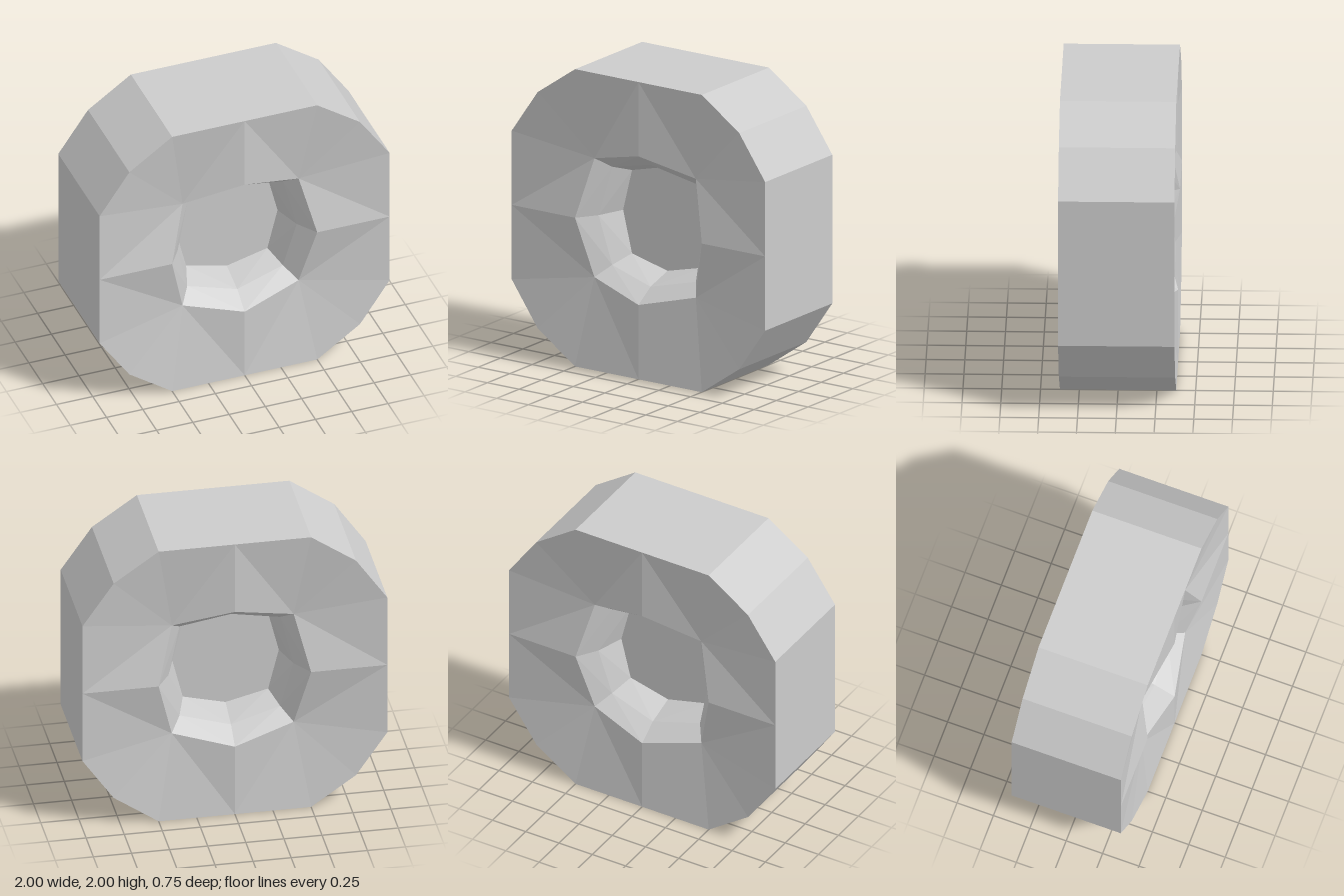
import * as THREE from 'three';

const material = new THREE.MeshStandardMaterial({ color: 0xcccccc, flatShading: true, side: THREE.DoubleSide });

// Closed ring of 16 points: each quarter repeats [middle, corner, diagonal, corner].
// mid and diag are the radial offset and depth; corner collapses onto the diagonal for octagons.
function ring(mid, diag, midZ, diagZ, chamfered = false) {
  const quarter = chamfered
    ? [[mid, 0], [mid, mid / 2], [diag, diag], [mid / 2, mid]]
    : [[mid, 0], [diag, diag], [diag, diag], [diag, diag]];
  const points = [];
  for (let q = 0; q < 4; q++) {
    const c = [1, 0, -1, 0][q], s = [0, 1, 0, -1][q];
    quarter.forEach(([x, y], i) =>
      points.push([c * x - s * y, s * x + c * y, i === 0 ? midZ : diagZ]));
  }
  return points;
}

// Facets between two rings, the first one being the outer or rear ring.
function band(a, b) {
  const pos = [];
  const same = (p, q) => p.every((v, i) => Math.abs(v - q[i]) < 1e-6);
  const tri = (p, q, r) => {
    if (!same(p, q) && !same(q, r) && !same(p, r)) pos.push(...p, ...q, ...r);
  };
  for (let i = 0; i < 16; i++) {
    const j = (i + 1) % 16;
    // keep the facet diagonals mirrored about each middle line
    if (i % 4 < 2) {
      tri(a[i], a[j], b[j]);
      tri(a[i], b[j], b[i]);
    } else {
      tri(a[i], a[j], b[i]);
      tri(a[j], b[j], b[i]);
    }
  }
  return toGeometry(pos);
}

function toGeometry(pos) {
  const g = new THREE.BufferGeometry();
  g.setAttribute('position', new THREE.Float32BufferAttribute(pos, 3));
  g.computeVertexNormals();
  return g;
}

function part(name, geometry, parent) {
  const mesh = new THREE.Mesh(geometry, material);
  mesh.name = name;
  parent.add(mesh);
}

export function createModel() {
  const model = new THREE.Group();
  model.name = 'blockWheel';
  const half = 0.375;

  // Outer tread with chamfered corners
  part('tread', band(ring(1, 0.795, -half, -half, true), ring(1, 0.795, half, half, true)), model);

  // Identical front and back sides
  for (const [name, turn] of [['frontSide', 0], ['backSide', Math.PI]]) {
    const side = new THREE.Group();
    side.name = name;
    side.rotation.y = turn;

    const rim = ring(1, 0.795, half, half, true);
    const lip = ring(0.5, 0.4, half, 0.3);
    const step = ring(0.41, 0.33, 0.24, 0.2);
    const hub = ring(0.35, 0.28, 0.05, 0.05);

    part('sidewall', band(rim, lip), side);
    part('recessOuter', band(lip, step), side);
    part('recessInner', band(step, hub), side);
    part('hubPlate', band(hub, ring(0, 0, 0.05, 0.05)), side);
    model.add(side);
  }

  model.position.y = 1;
  const root = new THREE.Group();
  root.name = 'wheel';
  root.add(model);
  return root;
}
